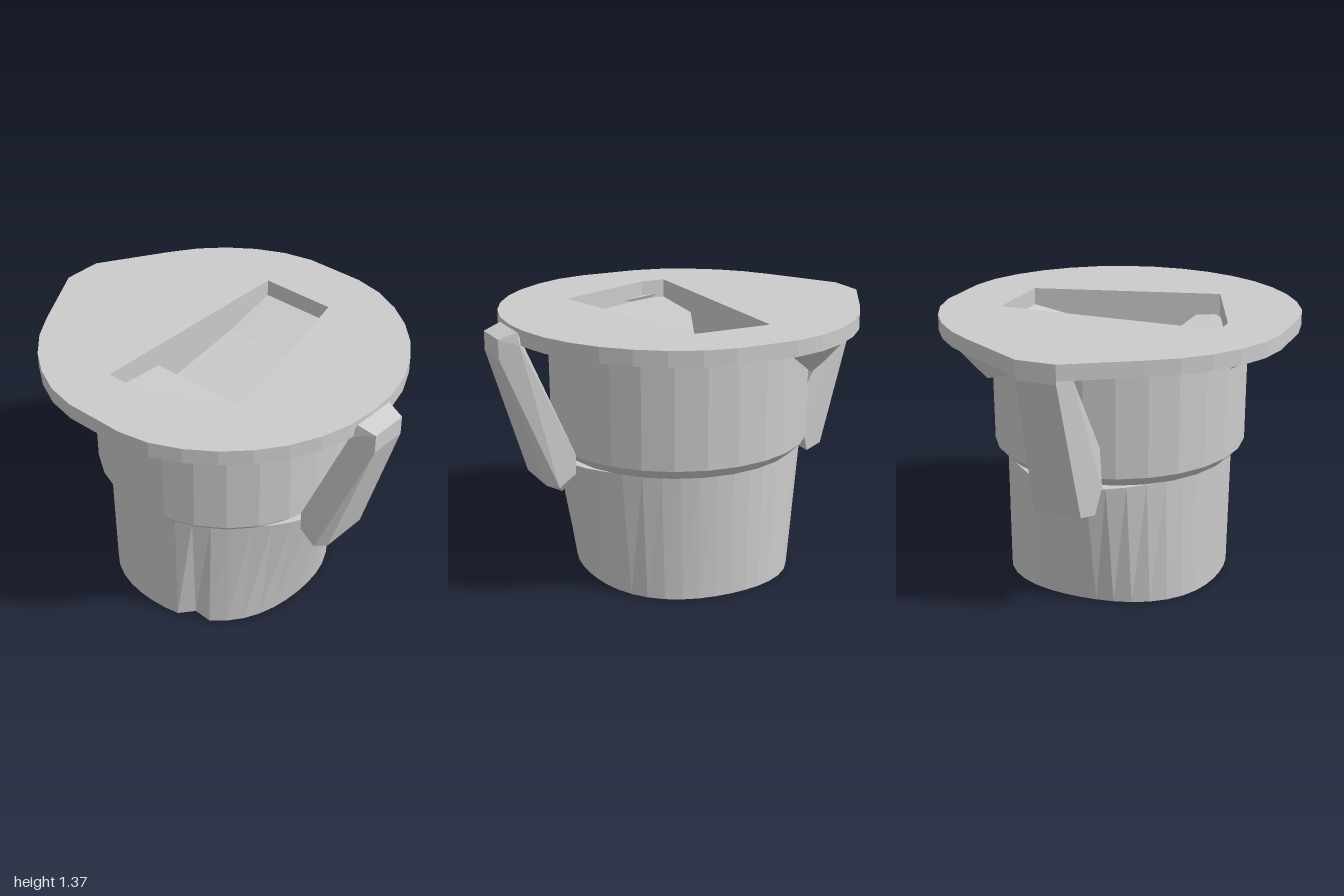
import * as THREE from 'three';
import { ConvexGeometry } from 'three/addons/geometries/ConvexGeometry.js';

const grey = new THREE.MeshStandardMaterial({ color: 0xcccccc, flatShading: true });
const greyBoth = new THREE.MeshStandardMaterial({ color: 0xcccccc, flatShading: true, side: THREE.DoubleSide });

// Strip of quads between pairs of corners: pairs = [[p, q], ...]
function strip(pairs) {
  const faces = [];
  for (let k = 0; k < 2 * (pairs.length - 1); k += 2) faces.push(k, k + 2, k + 1, k + 1, k + 2, k + 3);
  const g = new THREE.BufferGeometry();
  g.setAttribute('position', new THREE.Float32BufferAttribute(pairs.flat(2), 3));
  g.setIndex(faces);
  g.computeVertexNormals();
  return g;
}

export function createModel() {
  const group = new THREE.Group();
  const add = (name, geometry, material = grey) => {
    const mesh = new THREE.Mesh(geometry, material);
    mesh.name = name;
    group.add(mesh);
  };
  const hull = (name, pts) => add(name, new ConvexGeometry(pts.map(p => new THREE.Vector3(...p))));
  // Points given as [x, y, halfWidth] are mirrored across z
  const mirrored = pts => pts.flatMap(([x, y, w]) => [[x, y, w], [x, y, -w]]);

  // Lower cup: slightly squared base, top drawn out at both x ends, one narrow notch in front
  const lower = new THREE.CylinderGeometry(1, 1, 0.645, 40);
  const pos = lower.attributes.position;
  for (let i = 0; i < pos.count; i++) {
    const top = pos.getY(i) > 0;
    const x = pos.getX(i), z = pos.getZ(i);
    const notch = z > 0 && Math.abs(x - 0.454) < 0.05 ? 0.91 : 1;
    const square = (1 + 0.2 * x * x * z * z) * notch;
    if (top) pos.setXYZ(i, 0.56 * x + 0.11 * x ** 5 - 0.01, 0.645, z * 0.58);
    else pos.setXYZ(i, x * 0.53 * square - 0.01, 0, z * 0.56 * square);
  }
  add('lowerCup', lower);

  // Upper cup: wider band with a chamfered underside
  const profile = [[0, 0.645], [0.585, 0.645], [0.64, 0.7], [0.645, 1.29]];
  const upper = new THREE.LatheGeometry(profile.map(p => new THREE.Vector2(...p)), 26);
  upper.scale(1.035, 1, 1);
  add('upperCup', upper, greyBoth);

  // Lid: round plate drawn out to a blunt point at -x, with an angular opening
  const lidShape = new THREE.Shape();
  lidShape.moveTo(-1, -0.1);
  const n = 30, limit = 2.63;
  for (let i = 0; i <= n; i++) {
    const a = -limit + (2 * limit * i) / n;
    lidShape.lineTo(0.91 * Math.cos(a), THREE.MathUtils.clamp(0.91 * Math.sin(a), -0.888, 0.885));
  }
  lidShape.lineTo(-1, 0.1);
  const opening = [[-0.2, -0.57], [0.2, -0.57], [0.45, 0.38], [-0.07, 0.59], [-0.2, 0.59]];
  lidShape.holes.push(new THREE.Path(opening.map(p => new THREE.Vector2(...p))));
  const lid = new THREE.ExtrudeGeometry(lidShape, { depth: 0.078, bevelEnabled: false });
  lid.rotateX(Math.PI / 2).translate(0, 1.365, 0);
  add('lid', lid);

  // Walls hanging below the opening, closed into a loop
  add('openingWalls', strip([...opening, opening[0]].map(([x, z]) => [[x, 1.29, z], [x, 1.1, z]])), greyBoth);

  // Shallow folded floor beneath the opening: stations [z, y, xMin, xMax]
  const stations = [[-0.58, 1.28, -0.24, 0.24], [-0.28, 1.2, -0.38, 0.4], [0.21, 1.12, -0.5, 0.55],
    [0.26, 1.25, -0.5, 0.54], [0.6, 1.27, -0.22, 0.2]];
  add('innerFloor', strip(stations.map(([z, y, a, b]) => [[a, y, z], [b, y, z]])), greyBoth);

  // Handles: tapered arms sloping in from the lid to the cup
  hull('leftHandle', mirrored([
    [0.91, 1.35, 0.12], [1, 1.32, 0.1], [1, 1.225, 0.1], [0.905, 1.29, 0.13],
    [0.79, 0.565, 0.13], [0.71, 0.525, 0.13], [0.65, 0.62, 0.17], [0.65, 0.72, 0.17], [0.74, 0.56, 0.175],
  ]));
  hull('rightHandle', mirrored([
    [-1, 1.34, 0.1], [-0.9, 1.29, 0.13], [-1, 1.27, 0.1], [-0.65, 0.86, 0.16],
    [-0.65, 0.66, 0.17], [-0.69, 0.53, 0.15], [-0.73, 0.525, 0.12], [-0.79, 0.55, 0.12],
  ]));

  // Wedge braces under the lid, front and back
  hull('frontBrace', [
    [-0.2, 1.29, 0.87], [0.2, 1.29, 0.87], [0.52, 1.29, 0.72], [0.52, 1.27, 0.43], [-0.2, 1.29, 0.6],
    [-0.19, 1.175, 0.65], [0.2, 1.175, 0.655], [0.44, 1.175, 0.53],
  ]);
  hull('backBrace', [
    [-0.2, 1.29, -0.88], [-0.45, 1.29, -0.77], [-0.66, 1.29, -0.6], [-0.64, 1.29, -0.3], [-0.2, 1.29, -0.61],
    [-0.4, 1.12, -0.63], [-0.58, 1.11, -0.46], [-0.6, 1.15, -0.32],
  ]);

  return group;
}
